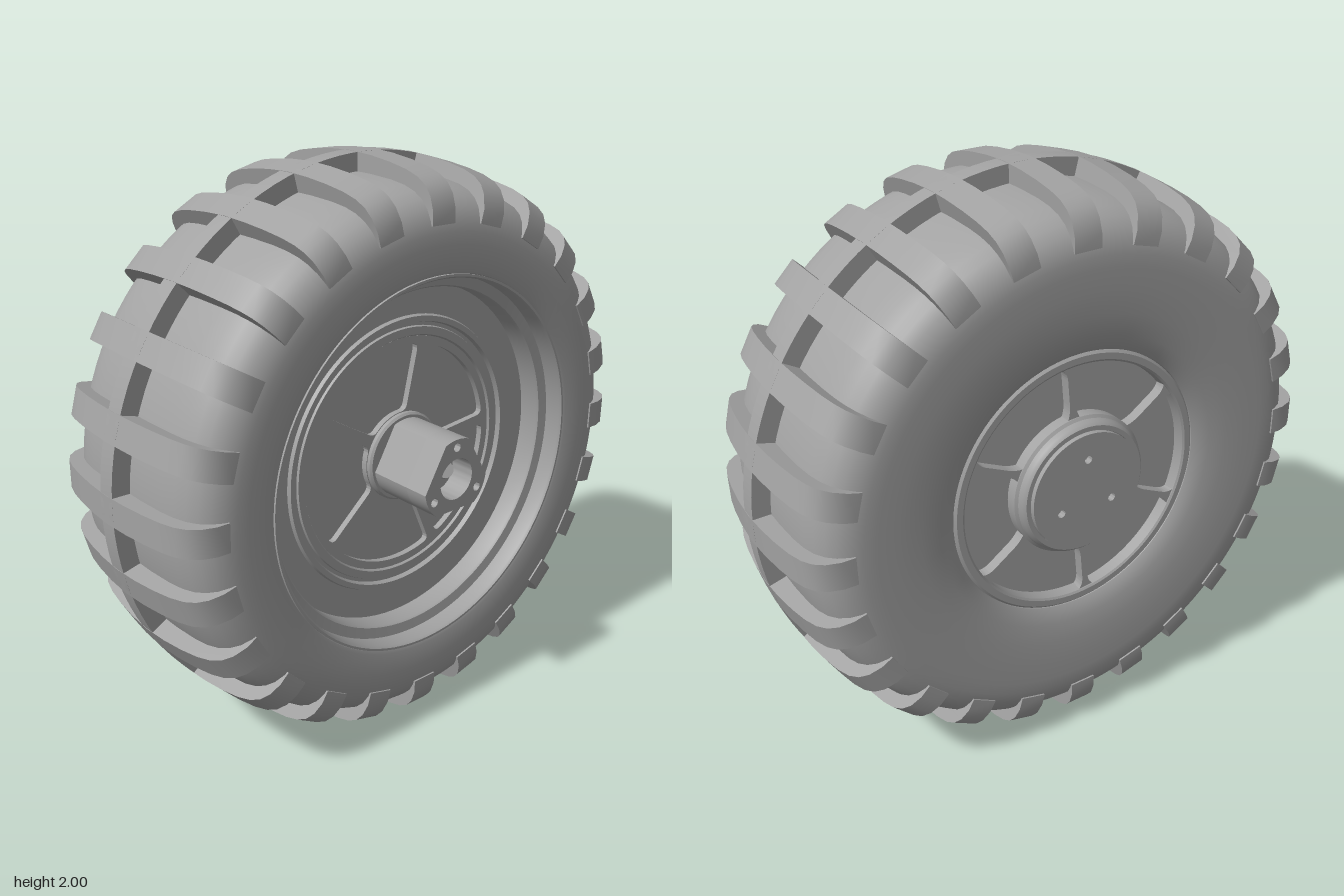
import * as THREE from 'three';
import { toCreasedNormals } from 'three/addons/utils/BufferGeometryUtils.js';

const MID = -0.05; // centre plane of the tyre along the axle
const TAU = Math.PI * 2;

export function createModel() {
  const grey = new THREE.MeshStandardMaterial({ color: 0xa2a2a2 });
  grey.name = 'grey';
  const model = new THREE.Group();
  const wheel = new THREE.Group();
  wheel.name = 'wheel';
  wheel.position.y = 1;
  model.add(wheel);

  const add = (name, geometry, parent = wheel) => {
    const mesh = new THREE.Mesh(geometry, grey);
    mesh.name = name;
    parent.add(mesh);
    return mesh;
  };
  const crease = (g) => toCreasedNormals(g, 0.6);
  // Solid of revolution about the axle, from [radius, z] pairs running back, outside, front
  const turned = (points, segments = 96) =>
    crease(new THREE.LatheGeometry(points.map(([r, z]) => new THREE.Vector2(r, z)), segments).rotateX(Math.PI / 2));
  // Flat outline with holes, extruded between two depths
  const plate = (shape, z0, z1) =>
    crease(new THREE.ExtrudeGeometry(shape, { depth: z1 - z0, bevelEnabled: false, curveSegments: 32 }).translate(0, 0, z0));
  const circle = (r, x = 0, y = 0) => new THREE.Shape().absarc(x, y, r, 0, TAU, false);
  // Three bolt holes at equal angles, one at the top
  const boltHoles = (shape, r, size) => {
    for (let i = 0; i < 3; i++) {
      const a = Math.PI / 2 + (i * TAU) / 3;
      shape.holes.push(circle(size, r * Math.cos(a), r * Math.sin(a)));
    }
    return shape;
  };

  // Tyre carcass: half profile [radius, distance from centre plane], mirrored
  const half = [[0.75, 0.393], [0.79, 0.392], [0.83, 0.384], [0.865, 0.366], [0.892, 0.34],
    [0.912, 0.305], [0.925, 0.26], [0.933, 0.2], [0.938, 0.1]];
  add('tyre', turned([
    [0.468, -0.39], [0.472, -0.405], [0.49, -0.417], [0.53, -0.43], [0.6, -0.439], [0.68, -0.443],
    ...half.map(([r, d]) => [r, MID - d]),
    ...half.slice().reverse().map(([r, d]) => [r, MID + d]),
    [0.67, 0.343], [0.658, 0.339], [0.652, 0.328], [0.652, 0.26],
  ], 120));

  // Raised rib around the middle of the tread
  add('centreRib', turned([[0.92, MID - 0.035], [0.999, MID - 0.035], [1, MID], [0.999, MID + 0.035], [0.92, MID + 0.035]], 120));

  // Cross lugs wrapping over the shoulders
  const arc = [[0.815, 0.393], [0.86, 0.392], [0.905, 0.377], [0.935, 0.353], [0.956, 0.318],
    [0.972, 0.265], [0.985, 0.19], [0.995, 0.1]];
  const outer = [...arc, [1, 0], ...arc.slice().reverse().map(([r, d]) => [r, -d])];
  const inner = [[0.815, -0.35], [0.88, -0.25], [0.9, 0], [0.88, 0.25], [0.815, 0.35]];
  const lugShape = new THREE.Shape([...outer, ...inner].map(([r, d]) => new THREE.Vector2(r, MID + d)));
  const lugGeometry = crease(new THREE.ExtrudeGeometry(lugShape, { depth: 0.096, bevelEnabled: false })
    .translate(0, 0, -0.048).rotateX(Math.PI / 2));
  const lugs = new THREE.Group();
  lugs.name = 'treadLugs';
  wheel.add(lugs);
  for (let i = 0; i < 24; i++) {
    add('lug', lugGeometry, lugs).rotation.z = (i * TAU) / 24 - 0.023;
  }

  // Stepped front rim, sunk into the tyre
  add('frontRim', turned([
    [0.656, 0.3], [0.656, 0.344], [0.648, 0.344], [0.642, 0.335], [0.642, 0.275], [0.605, 0.27],
    [0.6, 0.262], [0.6, 0.19], [0.495, 0.19], [0.49, 0.202], [0.472, 0.202], [0.467, 0.185],
    [0.455, 0.185], [0.452, 0.193], [0.425, 0.193], [0.42, 0.185], [0.415, 0.163], [0, 0.163],
  ]));

  // Front web with five rounded windows
  const web = circle(0.42);
  for (let i = 0; i < 5; i++) {
    const start = 0.087 + (i * TAU) / 5;
    const r0 = 0.16, r1 = 0.392, w = 0.02, c = 0.025;
    const at = (r, a) => new THREE.Vector2(r * Math.cos(a), r * Math.sin(a));
    const lo = (r) => start + Math.asin(w / r);
    const hi = (r) => start + TAU / 5 - Math.asin(w / r);
    const path = new THREE.Path();
    const curveTo = (p, q) => path.quadraticCurveTo(p.x, p.y, q.x, q.y);
    const lineTo = (p) => path.lineTo(p.x, p.y);
    const first = at(r0 + c, lo(r0 + c));
    path.moveTo(first.x, first.y);
    lineTo(at(r1 - c, lo(r1 - c)));
    curveTo(at(r1, lo(r1)), at(r1, lo(r1) + c / r1));
    path.absarc(0, 0, r1, lo(r1) + c / r1, hi(r1) - c / r1, false);
    curveTo(at(r1, hi(r1)), at(r1 - c, hi(r1 - c)));
    lineTo(at(r0 + c, hi(r0 + c)));
    curveTo(at(r0, hi(r0)), at(r0, hi(r0) - c / r0));
    path.absarc(0, 0, r0, hi(r0) - c / r0, lo(r0) + c / r0, true);
    curveTo(at(r0, lo(r0)), first);
    web.holes.push(path);
  }
  add('frontWeb', plate(web, 0.16, 0.185));
  add('hubCollar', turned([[0.157, 0.17], [0.157, 0.198], [0.15, 0.205], [0.1, 0.205]], 64));

  // Axle hub: a round bar with three flats, a bore and bolt holes
  const hubShape = () => {
    const s = new THREE.Shape();
    for (let i = 0; i < 3; i++) {
      const a = Math.PI / 2 + (i * TAU) / 3;
      for (let k = -4; k <= 4; k++) {
        const t = a + k * 0.095;
        s[i === 0 && k === -4 ? 'moveTo' : 'lineTo'](0.14 * Math.cos(t), 0.14 * Math.sin(t));
      }
    }
    s.closePath();
    return s;
  };
  const hubEnd = boltHoles(hubShape(), 0.112, 0.015);
  hubEnd.holes.push(circle(0.072));
  add('hubBase', plate(hubShape(), 0.17, 0.36));
  add('hubEnd', plate(hubEnd, 0.36, 0.45));

  // Slanted pin inside the bore
  const pin = add('borePin', new THREE.CylinderGeometry(0.028, 0.034, 0.08, 24));
  pin.position.set(-0.005, 0.015, 0.385);
  pin.rotation.set(Math.PI / 2 - 0.4, 0, 0.4);

  // Back rim: sunken dish with a raised hub seat and an outer lip
  add('backRim', turned([
    [0, -0.43], [0.205, -0.43], [0.21, -0.44], [0.226, -0.44], [0.236, -0.43], [0.24, -0.412],
    [0.25, -0.405], [0.25, -0.365], [0.43, -0.365], [0.433, -0.405], [0.44, -0.41], [0.462, -0.41],
    [0.47, -0.403], [0.472, -0.38],
  ]));
  add('backHubDisc', plate(boltHoles(circle(0.208), 0.115, 0.014), -0.454, -0.429));

  // Six back spokes, flared at both ends
  const spoke = new THREE.Shape();
  spoke.moveTo(0.235, -0.03);
  spoke.quadraticCurveTo(0.26, -0.012, 0.3, -0.011);
  spoke.lineTo(0.39, -0.011);
  spoke.quadraticCurveTo(0.425, -0.012, 0.437, -0.035);
  spoke.lineTo(0.437, 0.035);
  spoke.quadraticCurveTo(0.425, 0.012, 0.39, 0.011);
  spoke.lineTo(0.3, 0.011);
  spoke.quadraticCurveTo(0.26, 0.012, 0.235, 0.03);
  spoke.closePath();
  const spokeGeometry = plate(spoke, -0.402, -0.36);
  for (let i = 0; i < 6; i++) {
    add('backSpoke', spokeGeometry).rotation.z = 0.42 + (i * TAU) / 6;
  }

  return model;
}
